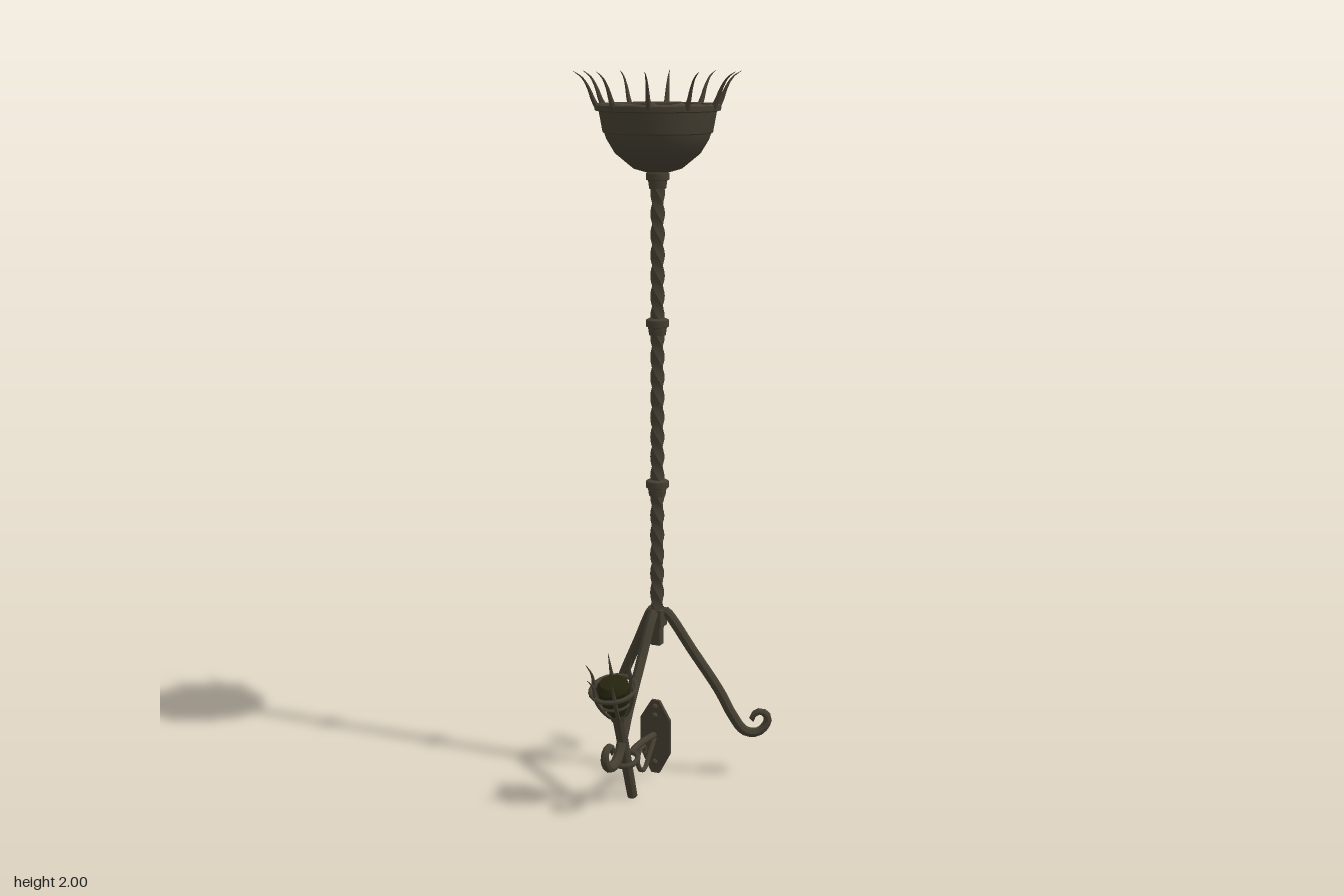
import * as THREE from 'three';
import { toCreasedNormals } from 'three/addons/utils/BufferGeometryUtils.js';

const iron = new THREE.MeshStandardMaterial({ color: 0x443e31 });
iron.name = 'dark iron';
const wood = new THREE.MeshStandardMaterial({ color: 0x46413a });
wood.name = 'charred wood';
const coal = new THREE.MeshStandardMaterial({ color: 0x25240e });
coal.name = 'olive coal';

const POLE_Z = -0.067;
const crease = (g, a = 0.6) => toCreasedNormals(g, a);

function add(parent, name, geometry, material = iron, x = 0, y = 0, z = 0) {
  const m = new THREE.Mesh(geometry, material);
  m.name = name;
  m.position.set(x, y, z);
  parent.add(m);
  return m;
}

// Tube along [x, y, z] points; taper(t) scales each ring, and both ends are closed
function bar(points, radius, sides, segments, taper = () => 1) {
  const curve = new THREE.CatmullRomCurve3(points.map(p => new THREE.Vector3(...p)), false, 'centripetal');
  const g = new THREE.TubeGeometry(curve, segments, radius, sides, false);
  const pos = g.attributes.position, v = new THREE.Vector3();
  // the first and last pair of rings share a centre, so the end ring becomes a cap
  for (let i = 0; i <= segments; i++) {
    const t = i / segments, c = curve.getPointAt(t);
    const k = i === 0 || i === segments ? 0 : taper(t);
    for (let j = 0; j <= sides; j++) {
      const n = i * (sides + 1) + j;
      v.fromBufferAttribute(pos, n).sub(c).multiplyScalar(k).add(c);
      pos.setXYZ(n, v.x, v.y, v.z);
    }
  }
  return crease(g);
}

const lathe = (pts, sides, a) =>
  crease(new THREE.LatheGeometry(pts.map(p => new THREE.Vector2(...p)), sides), a);

function makePole() {
  const g = new THREE.Group();
  g.name = 'pole';
  // square bar twisted along its length
  const y0 = 0.5, y1 = 1.71;
  const shaft = new THREE.BoxGeometry(0.028, y1 - y0, 0.028, 1, 132, 1);
  const p = shaft.attributes.position;
  for (let i = 0; i < p.count; i++) {
    const a = (p.getY(i) / 0.056) * Math.PI / 2, c = Math.cos(a), s = Math.sin(a);
    const x = p.getX(i), z = p.getZ(i);
    p.setXYZ(i, x * c - z * s, p.getY(i), x * s + z * c);
  }
  add(g, 'twistedShaft', crease(shaft, 0.7), iron, 0, (y0 + y1) / 2);
  add(g, 'shaftEnd', new THREE.BoxGeometry(0.028, 0.11, 0.028), iron, 0, 0.46);
  add(g, 'legCollar', new THREE.BoxGeometry(0.042, 0.05, 0.042), iron, 0, 0.485);
  for (const y of [0.86, 1.312, 1.71]) {
    add(g, 'collar', lathe([[0, -0.022], [0.023, -0.022], [0.026, 0], [0.032, 0.002],
      [0.032, 0.02], [0.024, 0.024], [0, 0.024]], 12), iron, 0, y);
  }
  return g;
}

function makeLeg(angle) {
  const leg = add(new THREE.Group(), 'scrollLeg', bar([[0.012, 0.51, 0], [0.03, 0.495, 0], [0.1, 0.385, 0],
    [0.178, 0.262, 0], [0.215, 0.19, 0], [0.252, 0.14, 0], [0.29, 0.135, 0], [0.314, 0.157, 0],
    [0.318, 0.18, 0], [0.298, 0.197, 0], [0.275, 0.184, 0], [0.277, 0.165, 0]],
  0.0145, 8, 44, t => (t > 0.75 ? 1 - (t - 0.75) * 1.6 : 1)));
  leg.rotation.y = angle;
  return leg;
}

function makeFireBowl() {
  const g = new THREE.Group();
  g.name = 'fireBowl';
  // outer wall, rim and inner wall in one profile
  add(g, 'bowl', lathe([[0, 1.733], [0.035, 1.733], [0.066, 1.742], [0.115, 1.782], [0.138, 1.82],
    [0.143, 1.835], [0.148, 1.838], [0.158, 1.893], [0.169, 1.896], [0.17, 1.91], [0.161, 1.914],
    [0.148, 1.912], [0.142, 1.88], [0.13, 1.85], [0.1, 1.82], [0, 1.81]], 22, 0.5));
  add(g, 'coalBed', new THREE.CylinderGeometry(0.135, 0.12, 0.02, 22), coal, 0, 1.856);
  // logs laid like spokes
  const jitter = [0.1, -0.12, 0.05, 0.16, -0.08, 0.12, -0.15, 0.02, -0.05];
  jitter.forEach((j, i) => {
    const log = new THREE.CylinderGeometry(0.021, 0.023, 0.125, 8);
    log.rotateZ(-Math.PI / 2 + 0.07 + j * 0.4).translate(0.062, 0, 0);
    add(g, 'log', crease(log), wood, 0, 1.884 + j * 0.04).rotation.y = i * Math.PI * 2 / 9 + j;
  });
  // thorn spikes around the rim
  const spike = bar([[0.158, 1.895, 0], [0.174, 1.925, 0], [0.186, 1.955, 0], [0.204, 1.983, 0], [0.229, 2.0, 0]],
    0.0085, 6, 12, t => 1.05 - t);
  for (let i = 0; i < 10; i++) add(g, 'rimSpike', spike).rotation.y = i * Math.PI / 5;
  return g;
}

function makeTorch() {
  const g = new THREE.Group();
  g.name = 'handTorch';
  add(g, 'handle', crease(new THREE.CylinderGeometry(0.018, 0.0145, 0.3, 10)), iron, 0, 0.15);
  add(g, 'handleCollar', crease(new THREE.CylinderGeometry(0.026, 0.021, 0.022, 10)), iron, 0, 0.277);
  add(g, 'coalHead', lathe([[0, 0.278], [0.023, 0.282], [0.04, 0.33], [0.047, 0.372],
    [0.036, 0.39], [0, 0.396]], 10), coal);
  add(g, 'cageRing', new THREE.TorusGeometry(0.063, 0.0065, 6, 24).rotateX(Math.PI / 2), iron, 0, 0.367);
  add(g, 'cageBand', new THREE.TorusGeometry(0.043, 0.004, 6, 20).rotateX(Math.PI / 2), iron, 0, 0.325);
  // cage ribs ending in spikes
  const rib = bar([[0.018, 0.275, 0], [0.038, 0.305, 0], [0.055, 0.345, 0], [0.059, 0.375, 0],
    [0.06, 0.405, 0], [0.075, 0.435, 0]], 0.006, 6, 14, t => (t > 0.6 ? (1.05 - t) / 0.45 : 1));
  for (let i = 0; i < 6; i++) add(g, 'cageRib', rib).rotation.y = i * Math.PI / 3;
  return g;
}

function makeWallBracket() {
  const g = new THREE.Group();
  g.name = 'torchBracket';
  // pointed back plate
  const half = [[0.012, 0.022], [0.046, 0.085], [0.046, 0.185], [0.012, 0.24]];
  const outline = [...half, ...half.map(([x, y]) => [-x, y]).reverse()];
  const plate = new THREE.ExtrudeGeometry(new THREE.Shape(outline.map(p => new THREE.Vector2(...p))),
    { depth: 0.01, bevelEnabled: false });
  add(g, 'backPlate', plate, iron, 0, 0, -0.064);
  for (const y of [0.055, 0.195, 0.222]) {
    add(g, 'stud', new THREE.SphereGeometry(0.009, 8, 6), iron, 0, y, -0.053);
  }
  // arm, scroll brace and the ring that holds the torch
  add(g, 'arm', bar([[0, 0.137, -0.06], [0, 0.142, 0], [0, 0.142, 0.05], [0, 0.136, 0.095]], 0.0095, 8, 12));
  add(g, 'scrollBrace', bar([[0, 0.132, -0.056], [0, 0.09, -0.018], [0, 0.058, 0.012], [0, 0.064, 0.038],
    [0, 0.09, 0.054], [0, 0.12, 0.045], [0, 0.128, 0.022], [0, 0.112, 0.008], [0, 0.1, 0.016]], 0.007, 6, 32));
  const ring = add(g, 'torchRing', new THREE.TorusGeometry(0.033, 0.008, 8, 20), iron, 0, 0.127, 0.126);
  ring.rotation.x = Math.PI / 2 + 0.31;
  return g;
}

export function createModel() {
  const model = new THREE.Group();
  model.name = 'standingBrazier';

  const stand = new THREE.Group();
  stand.name = 'stand';
  stand.position.z = POLE_Z;
  stand.add(makePole(), makeFireBowl());
  for (const deg of [30, 150, 270]) stand.add(makeLeg(deg * Math.PI / 180));

  const torch = makeTorch();
  torch.position.set(0, 0.005, 0.088);
  torch.rotation.x = 0.31;

  model.add(stand, torch, makeWallBracket());
  return model;
}
